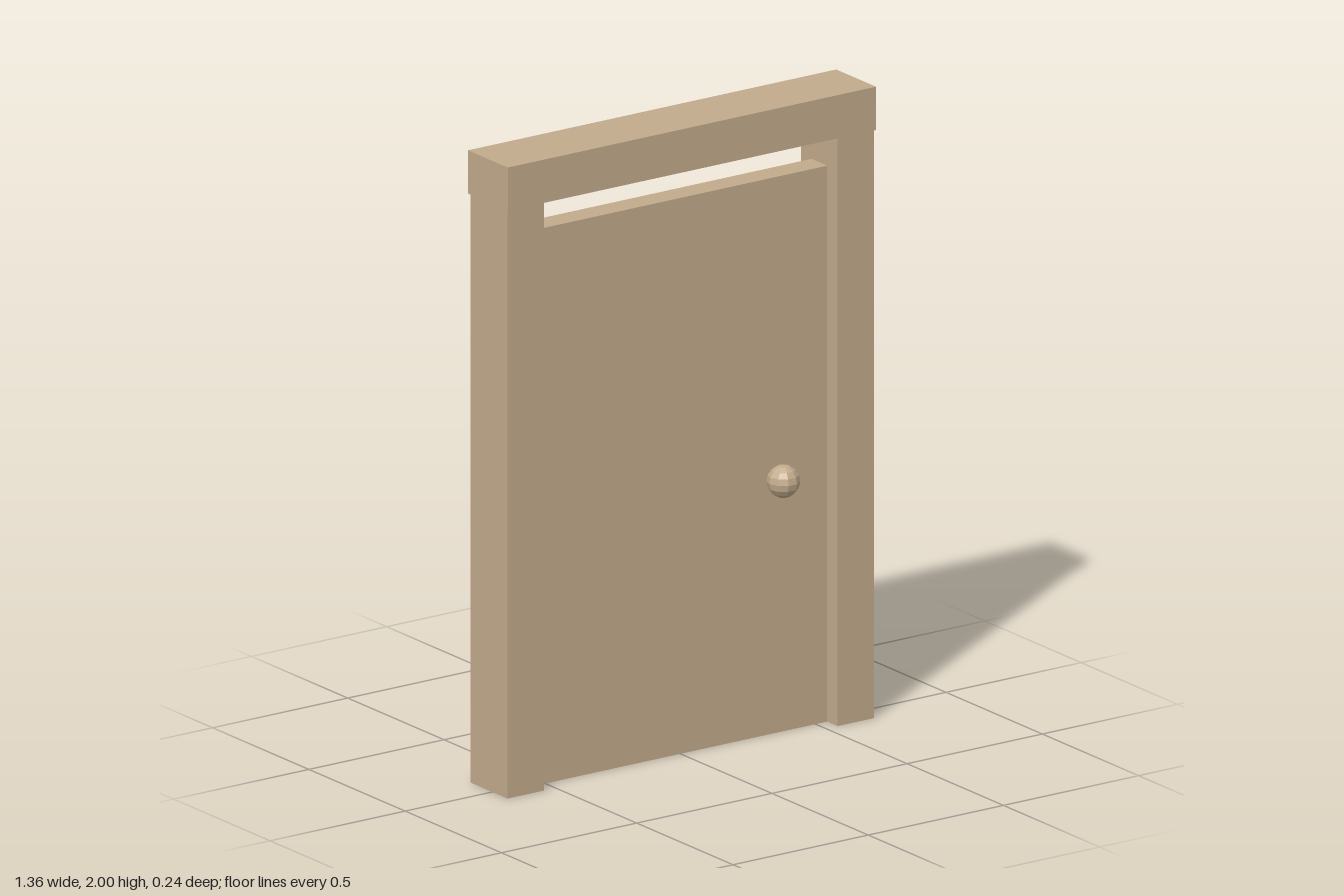
import * as THREE from 'three';

export function createModel() {
  const model = new THREE.Group();
  const wood = new THREE.MeshStandardMaterial({ color: 0xc2ab8c });
  wood.name = 'wood';
  wood.flatShading = true;

  // Box given by its lower and upper bounds on each axis
  function addBox(name, [x0, x1], [y0, y1], [z0, z1]) {
    const mesh = new THREE.Mesh(new THREE.BoxGeometry(x1 - x0, y1 - y0, z1 - z0), wood);
    mesh.position.set((x0 + x1) / 2, (y0 + y1) / 2, (z0 + z1) / 2);
    mesh.name = name;
    model.add(mesh);
  }

  // Frame: two posts under a slightly deeper lintel
  addBox('leftPost', [0.543, 0.678], [0, 1.863], [-0.112, 0.079]);
  addBox('rightPost', [-0.678, -0.543], [0, 1.863], [-0.112, 0.079]);
  addBox('lintel', [-0.681, 0.681], [1.863, 2], [-0.122, 0.085]);

  // Door panel, recessed on both sides with a gap above
  addBox('doorPanel', [-0.543, 0.543], [0, 1.76], [-0.057, 0.025]);

  // Faceted round knob on the front
  const knob = new THREE.Mesh(new THREE.SphereGeometry(0.051, 10, 8), wood);
  knob.position.set(0.348, 0.81, 0.071);
  knob.name = 'knob';
  model.add(knob);

  return model;
}
